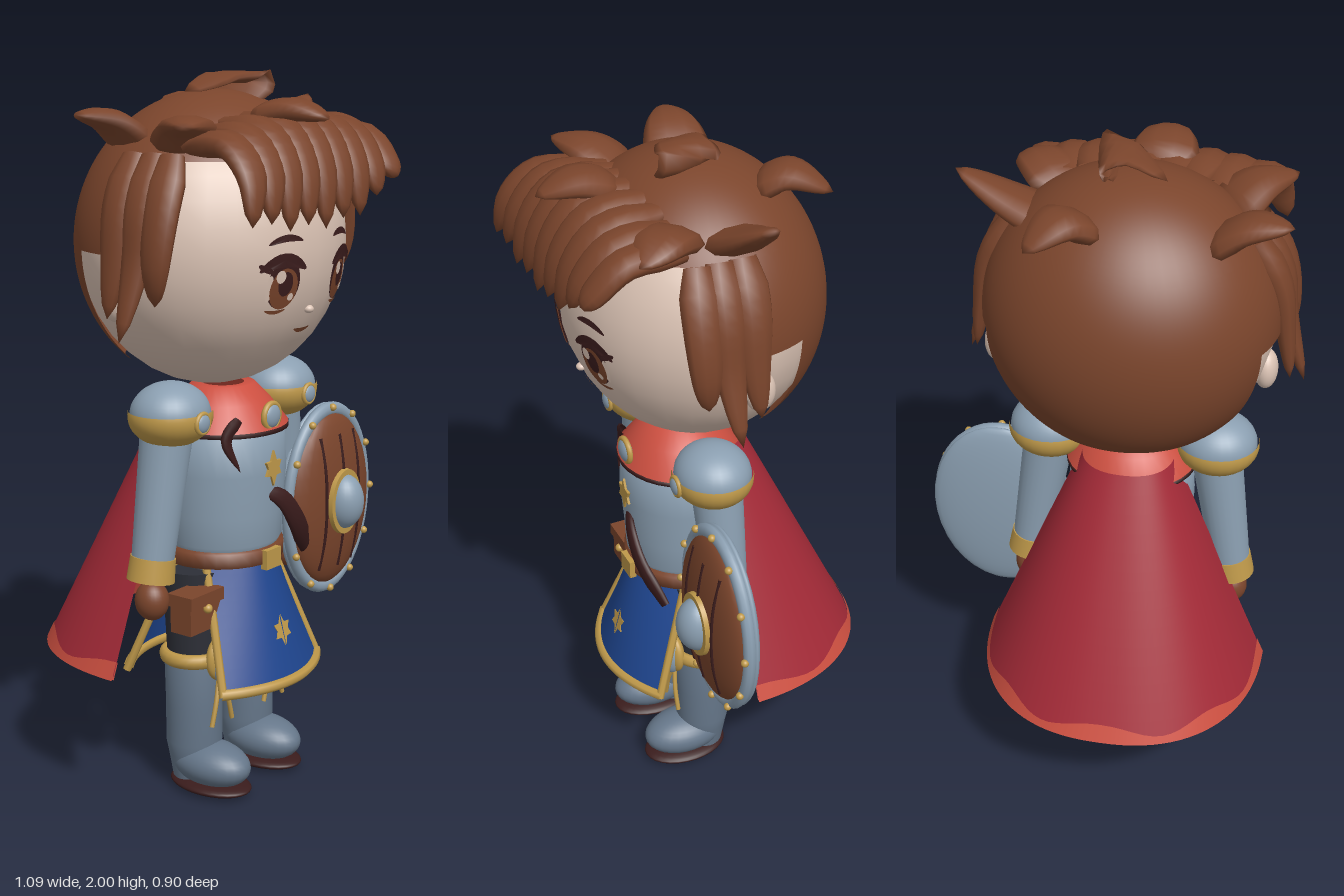
import * as THREE from 'three';
import { mergeVertices } from 'three/addons/utils/BufferGeometryUtils.js';

const CX = -0.08, CZ = 0.06; // body axis
const mat = (name, color, side = THREE.FrontSide) => Object.assign(new THREE.MeshStandardMaterial({ color, side }), { name });

export function createModel() {
  const root = new THREE.Group();
  root.name = 'littleKnight';
  const D = THREE.DoubleSide;
  const hair = mat('chestnutBrown', 0x7b452c, D), skin = mat('skin', 0xdcc4b5), steel = mat('steel', 0x8b9fb1),
    boot = mat('bootSteel', 0x66778a), gold = mat('gold', 0xbf994a), crimson = mat('crimson', 0xa32a37, D),
    trim = mat('trimRed', 0xcc4f40, D), blue = mat('royalBlue', 0x1f4690, D), dark = mat('darkMaroon', 0x3a1c1c, D),
    charcoal = mat('charcoal', 0x2d2f37);
  const V = (x, y, z) => new THREE.Vector3(x, y, z);

  // --- helpers ---
  const add = (name, geo, m, x = 0, y = 0, z = 0, parent = root) => {
    const o = new THREE.Mesh(geo, m);
    o.name = name;
    o.position.set(x, y, z);
    parent.add(o);
    return o;
  };
  const ball = (name, m, x, y, z, rx, ry = rx, rz = rx, parent = root) =>
    add(name, new THREE.SphereGeometry(1, 28, 18).scale(rx, ry, rz), m, x, y, z, parent);
  const tube = (name, m, pts, r, parent = root) =>
    add(name, new THREE.TubeGeometry(new THREE.CatmullRomCurve3(pts), 20, r, 7), m, 0, 0, 0, parent);
  const lathe = (name, m, profile, x, z, sx = 1, sz = 1) =>
    add(name, new THREE.LatheGeometry(profile.map(p => new THREE.Vector2(...p)), 32).scale(sx, 1, sz), m, x, 0, z);
  const grid = (fn, nu, nv) => {
    const pos = [], idx = [];
    for (let j = 0; j <= nv; j++) for (let i = 0; i <= nu; i++) pos.push(...fn(i / nu, j / nv).toArray());
    for (let j = 0; j < nv; j++) for (let i = 0; i < nu; i++) {
      const a = j * (nu + 1) + i, b = a + nu + 1;
      idx.push(a, a + 1, b, a + 1, b + 1, b);
    }
    let g = new THREE.BufferGeometry();
    g.setAttribute('position', new THREE.Float32BufferAttribute(pos, 3));
    g.setIndex(idx);
    g = mergeVertices(g, 1e-5);
    g.computeVertexNormals();
    return g;
  };
  // flattened lock that tapers to a point
  const lock = (name, m, pts, w, t, side, taper = 0.8) => {
    const c = new THREE.CatmullRomCurve3(pts);
    return add(name, grid((u, v) => {
      const p = c.getPoint(v), T = c.getTangent(v);
      const S = side.clone().addScaledVector(T, -side.dot(T)).normalize(), N = T.clone().cross(S);
      const f = Math.pow(Math.max(0, 1 - v * v), taper) * Math.min(1, 0.65 + 2 * v), a = u * Math.PI * 2;
      return p.addScaledVector(S, Math.cos(a) * w * f).addScaledVector(N, Math.sin(a) * t * f);
    }, 10, 12), m);
  };

  // --- head ---
  const HY = 1.545, HZ = 0.025, R = [0.385, 0.392, 0.35];
  ball('head', skin, CX, HY, HZ, ...R);
  const faceZ = (x, y) => HZ + R[2] * Math.sqrt(Math.max(0, 1 - ((x - CX) / R[0]) ** 2 - ((y - HY) / R[1]) ** 2));
  const decal = (name, m, x, y, rx, ry, lift, rot = 0, bend = 0) => {
    const g = new THREE.CircleGeometry(1, 24).scale(rx, ry, 1).rotateZ(rot), p = g.attributes.position;
    for (let i = 0; i < p.count; i++) {
      const px = x + p.getX(i), py = y + p.getY(i) - bend * (p.getX(i) / rx) ** 2;
      p.setXYZ(i, px, py, faceZ(px, py) + lift);
    }
    g.computeVertexNormals();
    return add(name, g, m);
  };
  for (const s of [-1, 1]) {
    const x = CX + s * 0.12;
    decal('eyeOutline', dark, x, 1.465, 0.049, 0.066, 0.004);
    decal('iris', hair, x, 1.452, 0.042, 0.054, 0.006);
    decal('pupil', dark, x, 1.465, 0.022, 0.032, 0.008);
    decal('eyeHighlight', skin, x - 0.018, 1.485, 0.014, 0.017, 0.0095);
    decal('eyeGlint', skin, x + 0.02, 1.43, 0.009, 0.01, 0.0095);
    decal('eyeWhite', skin, x + s * 0.043, 1.455, 0.01, 0.035, 0.0055);
    decal('upperLash', dark, x + s * 0.008, 1.528, 0.07, 0.018, 0.009, 0, 0.026);
    decal('lashWing', dark, x + s * 0.06, 1.507, 0.024, 0.008, 0.009, s * 0.5);
    decal('lowerLash', hair, x + s * 0.01, 1.39, 0.03, 0.005, 0.004, 0, -0.006);
    decal('eyebrow', dark, x, 1.583, 0.053, 0.009, 0.005, -s * 0.06, 0.012);
    ball('ear', skin, CX + s * 0.367, 1.42, -0.005, 0.032, 0.058, 0.042);
  }
  ball('nose', skin, CX, 1.385, faceZ(CX, 1.385), 0.014, 0.011, 0.014);
  decal('mouth', hair, CX, 1.327, 0.034, 0.006, 0.004, 0, -0.006);

  // --- hair ---
  const rad = Math.PI / 180;
  const shell = (name, p0, p1, t0, t1) =>
    add(name, new THREE.SphereGeometry(1, 48, 20, p0 * rad, (p1 - p0) * rad, t0 * rad, (t1 - t0) * rad).scale(0.4, 0.402, 0.358), hair, CX, HY, HZ);
  shell('hairCrown', 0, 360, 0, 55);
  shell('hairSides', 160, 380, 54.5, 91);
  shell('hairBack', 205, 335, 90, 140);
  for (let k = 0; k < 9; k++) { // fringe
    const u = k / 8, e = (2 * u - 1) ** 2, up = 0.03 * e + 0.08 * u ** 6 + (k % 2) * 0.015;
    lock('fringeLock', hair, [V(-0.34 + 0.53 * u, 1.875 - 0.06 * e, 0.17), V(-0.38 + 0.58 * u, 1.85 - 0.03 * e, 0.325),
      V(-0.41 + 0.6 * u, 1.75, 0.405), V(-0.445 + 0.62 * u, 1.605 + up, 0.435)], 0.064, 0.036, V(1, 0, 0), 0.5);
  }
  for (const s of [-1, 1]) { // locks in front of the ears
    [[0.165, 1.42, 0.4], [0.1, 1.33, 0.465], [0.03, 1.38, 0.43]].forEach(([z, y, o]) =>
      lock('sideLock', hair, [V(CX + s * 0.32, 1.79, z * 0.9), V(CX + s * 0.385, 1.66, z), V(CX + s * 0.41, 1.52, z), V(CX + s * o, y, z - 0.01)],
        0.058, 0.036, V(0, 0, 1), 0.55));
  }
  const tufts = [ // base, bend, tip
    [[-0.3, 1.8, -0.05], [-0.39, 1.87, -0.07], [-0.5, 1.89, -0.09]],
    [[0.14, 1.79, 0.02], [0.25, 1.84, 0.02], [0.38, 1.92, 0.01]],
    [[-0.31, 1.8, 0.12], [-0.38, 1.86, 0.18], [-0.48, 1.87, 0.25]],
    [[0.12, 1.82, 0.16], [0.2, 1.85, 0.23], [0.26, 1.83, 0.31]],
    [[-0.12, 1.87, 0.22], [-0.12, 1.9, 0.32], [-0.12, 1.88, 0.43]],
    [[0.02, 1.86, -0.13], [0.07, 1.9, -0.19], [0.14, 1.86, -0.28]],
  ];
  for (const t of tufts) {
    const p = t.map(q => V(...q)), d = p[2].clone().sub(p[0]);
    lock('hairTuft', hair, p, 0.096, 0.04, V(-d.z, 0, d.x).normalize(), 0.7);
  }
  lock('crownCurl', hair, [V(-0.04, 1.91, 0.07), V(0.0, 1.965, 0.06), V(-0.06, 1.978, 0.05), V(-0.17, 1.94, 0.0)], 0.1, 0.02, V(0.25, 0, 1).normalize(), 0.6);

  // --- torso ---
  lathe('breastplate', steel, [[0.15, 0.69], [0.168, 0.72], [0.172, 0.8], [0.182, 0.92], [0.178, 1.02], [0.12, 1.09], [0.07, 1.14]], CX, CZ, 1, 0.95);
  lathe('collar', trim, [[0.176, 1.035], [0.187, 1.045], [0.135, 1.11], [0.09, 1.155], [0.06, 1.155]], CX, CZ, 1, 0.95);
  lathe('collarEdge', dark, [[0.17, 1.028], [0.188, 1.032], [0.188, 1.044], [0.17, 1.046]], CX, CZ, 1, 0.95);
  lathe('belt', hair, [[0.15, 0.66], [0.178, 0.665], [0.178, 0.705], [0.15, 0.71]], CX, CZ, 1, 0.93);
  ball('hips', charcoal, CX, 0.59, CZ, 0.165, 0.12, 0.135);
  add('buckle', new THREE.BoxGeometry(0.065, 0.055, 0.02), gold, CX, 0.678, 0.228);
  add('pouch', new THREE.BoxGeometry(0.13, 0.1, 0.07), hair, -0.29, 0.56, 0.13);
  add('pouchFlap', new THREE.BoxGeometry(0.14, 0.035, 0.085), hair, -0.29, 0.602, 0.13);
  ball('pouchButton', gold, -0.29, 0.575, 0.172, 0.013);
  const medal = (x, y, z, r) => {
    add('medalRim', new THREE.TorusGeometry(r, r * 0.25, 8, 24), gold, x, y, z);
    ball('medalGem', steel, x, y, z, r, r, r * 0.5);
  };
  medal(CX, 1.08, 0.226, 0.034);
  const star = new THREE.Shape(Array.from({ length: 12 }, (_, i) => {
    const a = i * Math.PI / 6, r = i % 2 ? 0.024 : i % 6 ? 0.038 : 0.05;
    return new THREE.Vector2(Math.sin(a) * r, Math.cos(a) * r);
  }));
  const emblem = new THREE.ExtrudeGeometry(star, { depth: 0.009, bevelEnabled: false });
  add('chestEmblem', emblem, gold, CX, 0.935, 0.228);
  lock('strapEnd', dark, [V(-0.11, 0.88, 0.21), V(-0.04, 0.84, 0.235), V(0.03, 0.76, 0.235), V(0.12, 0.66, 0.2)].reverse(), 0.036, 0.016, V(0.7, 0.7, 0), 0.5);
  lock('strapTop', dark, [V(-0.18, 1.08, 0.19), V(-0.22, 1.03, 0.18), V(-0.19, 0.94, 0.205)], 0.025, 0.014, V(1, 0, 0));

  // --- tabard panels, front and back ---
  for (const s of [1, -1]) {
    const P = (u, v) => V(CX + (u - 0.5) * (0.29 + 0.16 * v), 0.68 - 0.345 * v,
      CZ + s * (0.155 + 0.095 * v - (2 * u - 1) ** 2 * (0.11 - 0.03 * v)));
    add('tabard', grid(P, 14, 10), blue);
    const path = f => Array.from({ length: 9 }, (_, i) => f(i / 8));
    for (const e of [0.01, 0.99]) tube('tabardSideTrim', gold, path(t => P(e, t)), 0.012);
    tube('tabardHem', gold, path(t => P(t, 0.98)), 0.015);
    if (s > 0) add('tabardEmblem', emblem, gold, CX, 0.475, 0.262).rotation.x = -0.27;
  }

  // --- cape ---
  const cape = (u, v) => {
    const c = Math.cos(u * Math.PI), q = Math.sin(u * Math.PI);
    return V(CX + (0.13 + 0.28 * v) * Math.sign(c) * Math.abs(c) ** 0.87, 1.09 - 0.69 * v, 0.005 - (0.12 + 0.335 * v) * Math.max(0, q) ** 0.87);
  };
  add('cape', grid(cape, 40, 14), crimson);
  add('capeHem', grid((u, v) => { // band with a scalloped upper edge
    const top = 0.965 - 0.02 * Math.cos(u * Math.PI * 8), p = cape(u, top + (1.015 - top) * v);
    return V(CX + (p.x - CX) * 1.008, p.y, p.z * 1.008);
  }, 48, 2), trim);
  add('capeHemLining', grid((u, v) => {
    const p = cape(u, 0.95 + 0.065 * v);
    return V(CX + (p.x - CX) * 0.988, p.y, p.z * 0.988);
  }, 40, 2), trim);

  // --- arms ---
  for (const s of [-1, 1]) {
    const X = d => CX + s * d;
    add('pauldron', new THREE.SphereGeometry(1, 28, 14, 0, Math.PI * 2, 0, 1.6).scale(0.113, 0.088, 0.106), steel, X(0.24), 1.107, 0.07);
    add('pauldronBand', new THREE.SphereGeometry(1, 28, 14, 0, Math.PI * 2, 1.4, Math.PI - 1.4).scale(0.119, 0.085, 0.112), gold, X(0.24), 1.103, 0.07);
    medal(X(0.24), 1.095, 0.18, 0.026);
    const a = V(X(0.24), 1.08, 0.06), b = V(X(0.3), 0.68, 0.05), dir = a.clone().sub(b);
    const along = (name, geo, m, t) => {
      const p = a.clone().lerp(b, t);
      add(name, geo, m, p.x, p.y, p.z).quaternion.setFromUnitVectors(V(0, 1, 0), dir.clone().normalize());
    };
    along('arm', new THREE.CylinderGeometry(0.073, 0.057, dir.length(), 24), steel, 0.5);
    along('cuff', new THREE.CylinderGeometry(0.062, 0.066, 0.065, 24), gold, 0.98);
    ball('glove', hair, X(0.305), 0.6, 0.055, 0.046, 0.055, 0.048);
  }

  // --- legs ---
  for (const s of [-1, 1]) {
    const x = CX + s * 0.12;
    add('thigh', new THREE.CylinderGeometry(0.088, 0.075, 0.26, 24), charcoal, x, 0.52, 0.05);
    lathe('bootShaft', boot, [[0.06, 0.03], [0.072, 0.1], [0.08, 0.14], [0.08, 0.25], [0.084, 0.4], [0.06, 0.4]], x, 0.05);
    add('bootCuff', new THREE.TorusGeometry(0.082, 0.016, 10, 28).rotateX(Math.PI / 2).scale(1, 1.3, 1), gold, x, 0.395, 0.05);
    ball('kneeRim', gold, x, 0.4, 0.14, 0.05, 0.065, 0.025);
    ball('kneeCap', steel, x, 0.4, 0.15, 0.04, 0.07, 0.035);
    ball('bootToe', boot, x, 0.08, 0.11, 0.083, 0.064, 0.128);
    ball('sole', dark, x, 0.02, 0.11, 0.086, 0.02, 0.13);
    for (const e of [-1, 1]) tube('tassel', gold, [V(x, 0.35, 0.14), V(x + e * 0.025, 0.28, 0.15), V(x + e * 0.045, 0.21, 0.15)], 0.007);
  }

  // --- shield ---
  const shield = new THREE.Group();
  shield.name = 'shield';
  shield.position.set(0.325, 0.745, 0.115);
  root.add(shield);
  ball('shieldBack', steel, 0, 0, 0, 0.21, 0.287, 0.038, shield);
  add('shieldRim', new THREE.TorusGeometry(1, 0.08, 10, 48).scale(0.197, 0.269, 0.22), steel, 0, 0, 0.018, shield);
  ball('shieldWood', hair, 0, 0, 0.022, 0.19, 0.26, 0.06, shield);
  for (const x of [-0.082, 0, 0.082]) { // gaps follow the domed boards
    tube('plankGap', dark, [-0.2, -0.1, 0, 0.1, 0.2].map(y =>
      V(x, y, 0.022 + 0.06 * Math.sqrt(1 - (x / 0.19) ** 2 - (y / 0.26) ** 2))), 0.005, shield);
  }
  add('bossPlate', new THREE.CylinderGeometry(0.95, 1, 0.035, 40).rotateX(Math.PI / 2).scale(0.078, 0.102, 1), gold, 0, 0, 0.073, shield);
  ball('boss', steel, 0, 0, 0.08, 0.06, 0.082, 0.06, shield);
  for (let i = 0; i < 12; i++) {
    const a = i * Math.PI / 6;
    ball('rivet', gold, 0.204 * Math.cos(a), 0.277 * Math.sin(a), 0.036, 0.011, 0.011, 0.011, shield);
  }
  return root;
}
